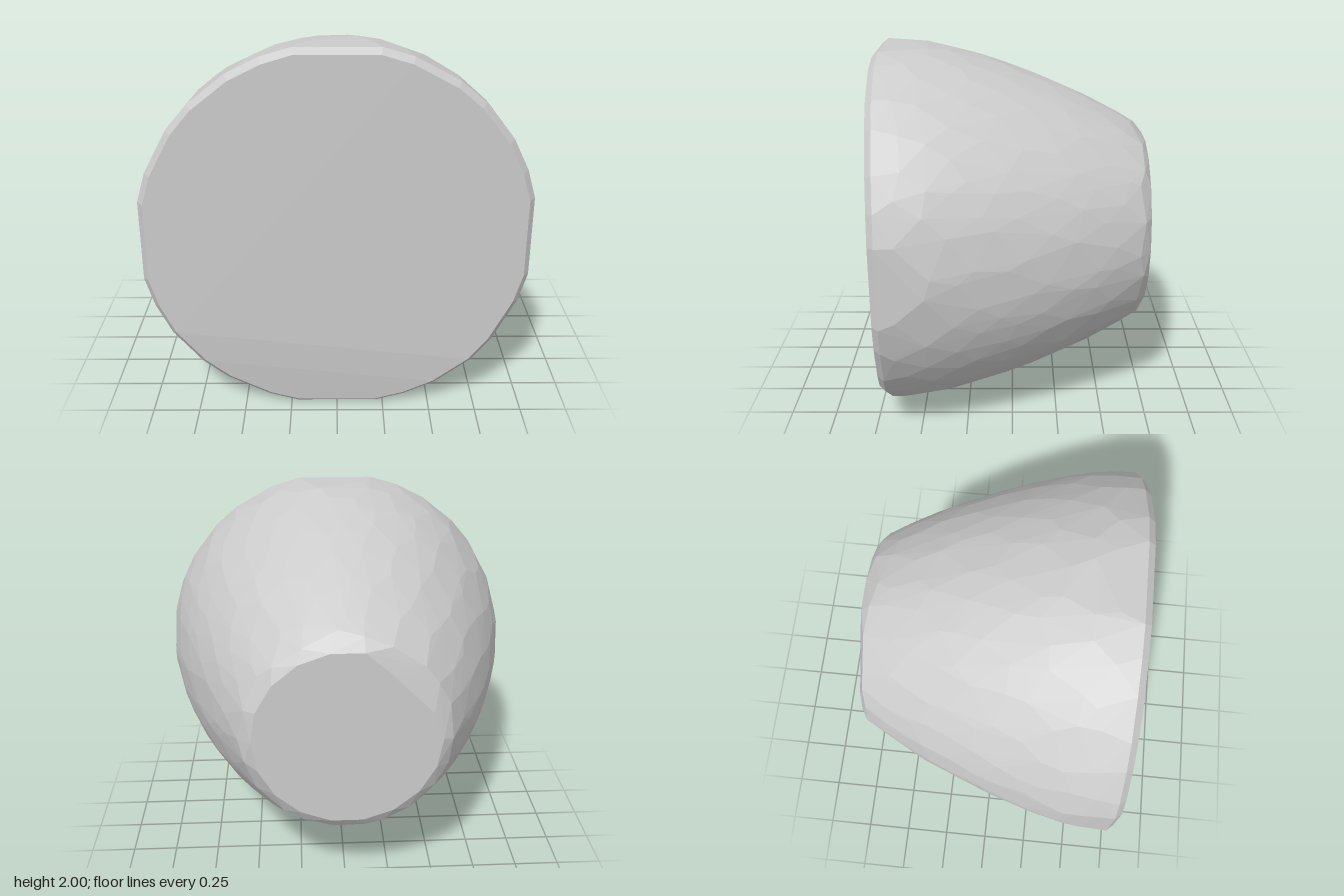
import * as THREE from 'three';
import { ConvexGeometry } from 'three/addons/geometries/ConvexGeometry.js';

// Small seeded generator for the irregular facets
function seeded(seed) {
  let s = seed;
  return () => {
    s = (s * 16807) % 2147483647;
    return s / 2147483647;
  };
}

// Side profile: [z, radius], front to back
const PROFILE = [
  [0.6, 1.023], [0.42, 1.0], [0.25, 0.957], [0.08, 0.905], [-0.13, 0.83],
  [-0.35, 0.738], [-0.6, 0.61], [-0.7, 0.55],
];

function radiusAt(z) {
  for (let i = 1; i < PROFILE.length; i++) {
    const [z0, r0] = PROFILE[i - 1];
    const [z1, r1] = PROFILE[i];
    if (z >= z1) return r0 + ((r1 - r0) * (z0 - z)) / (z0 - z1);
  }
  return PROFILE[PROFILE.length - 1][1];
}

const clip = (v) => THREE.MathUtils.clamp(v, -1, 1);

// The front face falls away slightly towards its left and bottom edges
const frontDrop = (x, y) => 0.045 * Math.max(0, (x - 0.46) / 0.53, (-0.6 - y) / 0.39);

function createBody() {
  const points = [];
  const random = seeded(71);
  const add = (x, y, z) => points.push(new THREE.Vector3(x, y + 1, z));

  // Curved wall, with rings of scattered points between front and back
  const rings = 11;
  for (let j = 0; j < rings; j++) {
    const count = Math.round(32 - j);
    for (let i = 0; i < count; i++) {
      const a = ((i + (j % 2) / 2 + (random() - 0.5) * 0.6) / count) * Math.PI * 2;
      const z = THREE.MathUtils.clamp(0.56 - j * 0.125 + (random() - 0.5) * 0.09, -0.7, 0.6);
      const r = radiusAt(z);
      add(clip(r * Math.cos(a)), clip(r * Math.sin(a)), z);
    }
  }

  // Front rim: corner ring and the narrow bevel around the flat face
  const flat = 0.212;
  for (let q = 0; q < 4; q++) {
    for (const step of [flat, 0.37, 0.55, 0.785, 0.95, 1.2, Math.PI / 2 - flat]) {
      const a = step + (q * Math.PI) / 2;
      const x = clip(1.023 * Math.cos(a));
      const y = clip(1.023 * Math.sin(a));
      const drop = frontDrop(x, y);
      add(x, y, 0.7 - drop);
      add(x * 0.97, y * 0.97, 0.735 - drop);
    }
  }

  // Back face: round, with one straight cut on its upper right side
  const cut = new THREE.Vector2(-Math.SQRT1_2, Math.SQRT1_2);
  for (let i = 0; i < 18; i++) {
    const a = (i / 18) * Math.PI * 2;
    const p = new THREE.Vector2(Math.cos(a), Math.sin(a)).multiplyScalar(0.495);
    const over = p.dot(cut) - 0.415;
    if (over > 0) p.addScaledVector(cut, -over);
    add(p.x, p.y, -0.735);
  }

  return new ConvexGeometry(points);
}

export function createModel() {
  const group = new THREE.Group();
  group.name = 'facetedDome';
  const body = new THREE.Mesh(
    createBody(),
    new THREE.MeshStandardMaterial({ color: 0xcccccc, flatShading: true }),
  );
  body.name = 'domeBody';
  group.add(body);
  return group;
}
